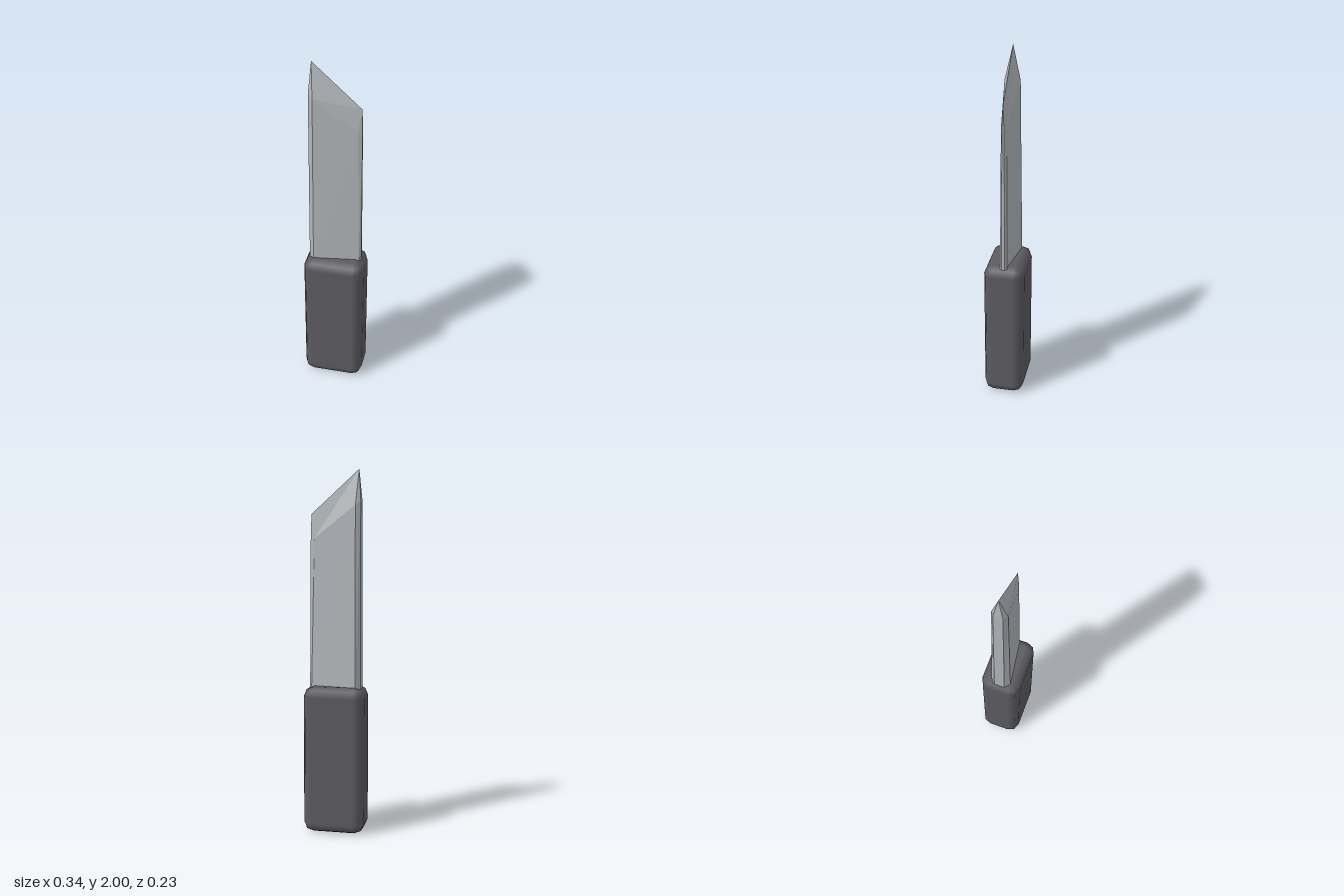
import * as THREE from 'three';
import { RoundedBoxGeometry } from 'three/addons/geometries/RoundedBoxGeometry.js';

const steel = new THREE.MeshStandardMaterial({ color: 0xb2b6ba });
steel.name = 'steel';
const grip = new THREE.MeshStandardMaterial({ color: 0x5c5b60 });
grip.name = 'darkGrip';

// Close a half outline (z > 0 side, spine to edge) by mirroring it in z
const mirrorRing = (half) => [...half, ...[...half].reverse().map(([x, y, z]) => [x, y, -z])];

// Flat-faced skin between successive rings of equal point count
function loft(rings) {
  const pos = [];
  const same = (p, q) => p.every((v, k) => Math.abs(v - q[k]) < 1e-6);
  const tri = (a, b, c) => {
    if (!same(a, b) && !same(b, c) && !same(a, c)) pos.push(...a, ...b, ...c);
  };
  for (let r = 0; r < rings.length - 1; r++) {
    const low = rings[r], up = rings[r + 1], n = low.length;
    for (let i = 0; i < n; i++) {
      const j = (i + 1) % n;
      tri(low[i], low[j], up[j]);
      tri(low[i], up[j], up[i]);
    }
  }
  const geo = new THREE.BufferGeometry();
  geo.setAttribute('position', new THREE.Float32BufferAttribute(pos, 3));
  geo.computeVertexNormals();
  return geo;
}

export function createModel() {
  const group = new THREE.Group();
  group.name = 'knife';

  // Handle: a block with two-step bevelled edges
  const handle = new THREE.Mesh(new RoundedBoxGeometry(0.34, 0.82, 0.226, 1, 0.055), grip);
  handle.name = 'handle';
  handle.position.y = 0.41;
  group.add(handle);

  // Blade: thick spine at -x, thin edge at +x, slanted shoulder closing to a ridge
  const base = [[-0.144, 0.78, 0.03], [-0.117, 0.78, 0.057], [0.135, 0.78, 0.02], [0.146, 0.78, 0.008]];
  const shoulder = [[-0.14, 1.83, 0.025], [-0.114, 1.81, 0.043], [0.118, 1.63, 0.015], [0.14, 1.62, 0.006]];
  const tip = [-0.127, 2, 0], heel = [0.137, 1.76, 0];
  const blade = new THREE.Mesh(loft([base, shoulder, [tip, tip, heel, heel]].map(mirrorRing)), steel);
  blade.name = 'blade';
  group.add(blade);

  return group;
}
